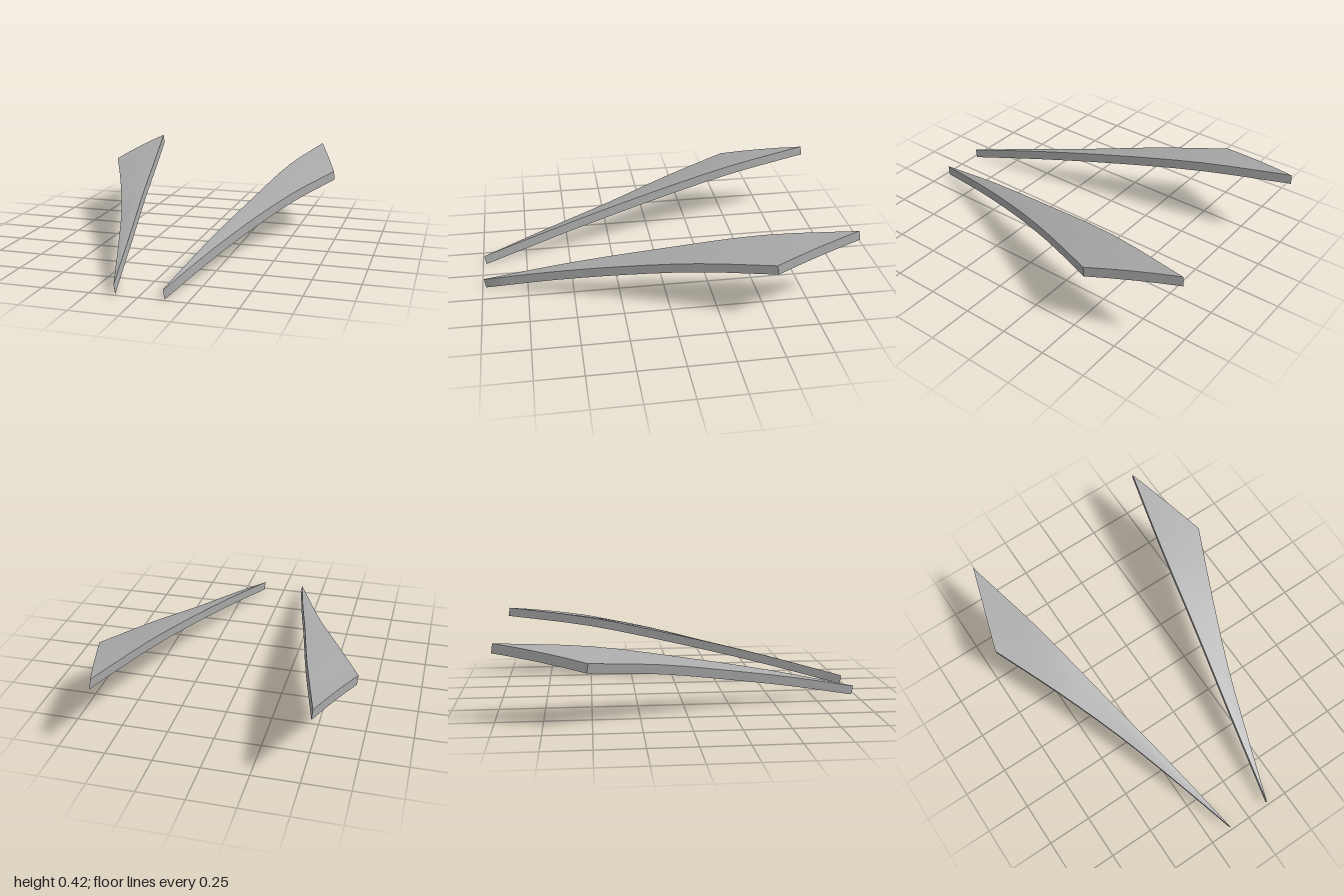
import * as THREE from 'three';
import { toCreasedNormals } from 'three/addons/utils/BufferGeometryUtils.js';

const ROWS = 12, COLS = 4;
const curve = (pts) => new THREE.CatmullRomCurve3(pts.map((p) => new THREE.Vector3(...p)));

// Top edges of the left blade, from the front tip to the rear
const innerEdge = curve([
  [0.125, 0.052, 0.99], [0.22, 0.175, 0.5], [0.325, 0.283, 0], [0.427, 0.376, -0.5], [0.545, 0.425, -0.99],
]);
const outerEdge = curve([
  [0.128, 0.052, 0.985], [0.245, 0.138, 0.62], [0.375, 0.217, 0.24], [0.527, 0.292, -0.135], [0.694, 0.345, -0.515],
]);

// Curved, tapering plate: closed rings of top and bottom points swept from front to rear
function bladeGeometry(side) {
  const rings = [];
  for (let i = 0; i <= ROWS; i++) {
    const t = i / ROWS;
    const a = innerEdge.getPoint(t), b = outerEdge.getPoint(t);
    const top = [];
    for (let k = 0; k <= COLS; k++) {
      const s = k / COLS;
      const p = a.clone().lerp(b, s);
      p.y += 0.024 * s * (1 - s) * t; // slight crown across the width
      p.x *= side;
      top.push(p);
    }
    // thickness leans slightly backwards and towards +x
    const bottom = top.map((p) => p.clone().add(new THREE.Vector3(0.004, -0.051, -0.008))).reverse();
    rings.push([...top, ...bottom]);
  }
  const pos = [];
  const tri = (a, b, c) => {
    for (const p of side > 0 ? [a, b, c] : [a, c, b]) pos.push(p.x, p.y, p.z);
  };
  const quad = (a, b, c, d) => { tri(a, b, c); tri(a, c, d); };
  const n = 2 * (COLS + 1);
  for (let i = 0; i < ROWS; i++) {
    const r = rings[i], q = rings[i + 1];
    for (let k = 0; k < n; k++) quad(r[k], r[(k + 1) % n], q[(k + 1) % n], q[k]);
  }
  // front and rear end faces
  const f = rings[0], e = rings[ROWS];
  for (let k = 0; k < COLS; k++) {
    quad(f[k], f[n - 1 - k], f[n - 2 - k], f[k + 1]);
    quad(e[k], e[k + 1], e[n - 2 - k], e[n - 1 - k]);
  }
  const geo = new THREE.BufferGeometry();
  geo.setAttribute('position', new THREE.Float32BufferAttribute(pos, 3));
  return toCreasedNormals(geo, 0.5);
}

export function createModel() {
  const group = new THREE.Group();
  group.name = 'bladePair';
  const grey = new THREE.MeshStandardMaterial({ color: 0xaaaaaa });
  grey.name = 'grey';
  for (const [name, side] of [['leftBlade', 1], ['rightBlade', -1]]) {
    const mesh = new THREE.Mesh(bladeGeometry(side), grey);
    mesh.name = name;
    group.add(mesh);
  }
  return group;
}
